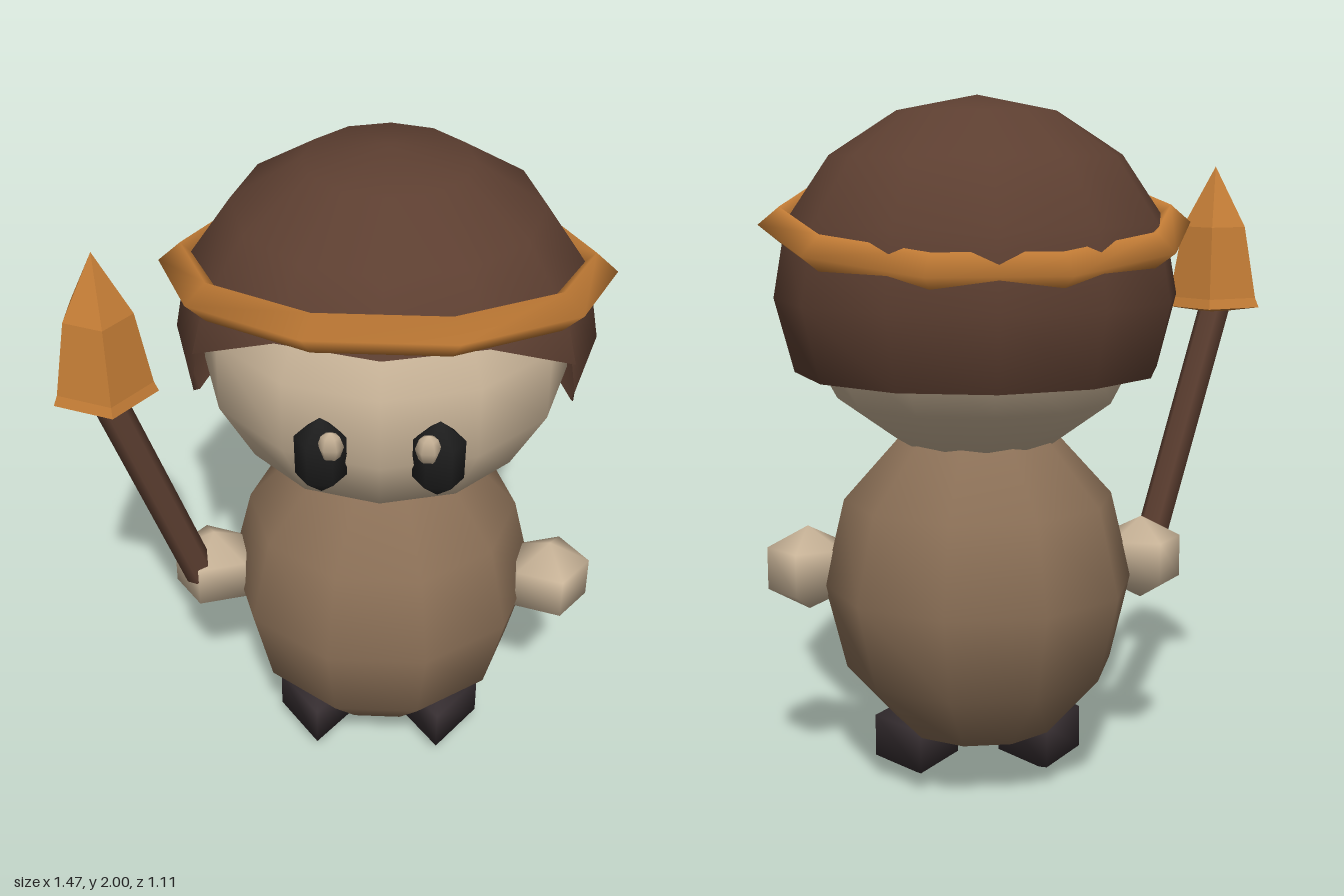
import * as THREE from 'three';

const CX = 0.125; // centre line of the figure
const RAD = Math.PI / 180;

const material = (name, color, extra = {}) => {
  const m = new THREE.MeshStandardMaterial({ color, ...extra });
  m.name = name;
  return m;
};

// Cap shell: a faceted dome whose rim is lifted over the face
function capGeometry(rx, ry, rz) {
  const rims = [[67, 67], [67, 83], [95, 115], [115, 115], [115, 115], [115, 115]];
  const pos = [], nor = [];
  const add = (a, t) => {
    const x = Math.sin(t * RAD) * Math.sin(a * RAD);
    const y = Math.cos(t * RAD);
    const z = Math.sin(t * RAD) * Math.cos(a * RAD);
    pos.push(x * rx, y * ry, z * rz);
    const n = new THREE.Vector3(x / rx, y / ry, z / rz).normalize();
    nor.push(n.x, n.y, n.z);
  };
  for (let i = 0; i < 12; i++) {
    const rim = rims[Math.min(i, 11 - i)];
    const [l0, l1] = i < 6 ? rim : [rim[1], rim[0]];
    const a0 = i * 30, a1 = a0 + 30;
    for (let j = 0; j < 5; j++) {
      const t = j * 23, u = t + 23;
      const A = [a0, Math.min(t, l0)], B = [a0, Math.min(u, l0)];
      const C = [a1, Math.min(u, l1)], D = [a1, Math.min(t, l1)];
      const same = (p, q) => p[1] === q[1];
      if (!same(A, B)) [A, B, C].forEach(p => add(...p));
      if (j > 0 && !same(C, D)) [A, C, D].forEach(p => add(...p));
    }
  }
  const g = new THREE.BufferGeometry();
  g.setAttribute('position', new THREE.Float32BufferAttribute(pos, 3));
  g.setAttribute('normal', new THREE.Float32BufferAttribute(nor, 3));
  return g;
}

export function createModel() {
  const group = new THREE.Group();
  const skin = material('skin', 0xcbb69a);
  const fur = material('tunic brown', 0x8a6f56);
  const brown = material('cap brown', 0x5d3f31, { side: THREE.DoubleSide });
  const orange = material('copper', 0xc47d36);
  const copperFlat = orange;
  const black = material('eye black', 0x1f1f1f);
  const dark = material('shoe dark', 0x352d30);

  const part = (name, geometry, mat, x, y, z) => {
    const m = new THREE.Mesh(geometry, mat);
    m.name = name;
    m.position.set(x, y, z);
    group.add(m);
    return m;
  };
  const ball = (name, mat, sides, rings, [rx, ry, rz], [x, y, z]) =>
    part(name, new THREE.SphereGeometry(1, sides, rings).scale(rx, ry, rz), mat, x, y, z);

  // Body and head
  ball('body', fur, 10, 6, [0.45, 0.5, 0.45], [CX, 0.61, 0]);
  ball('head', skin, 12, 7, [0.515, 0.465, 0.515], [CX, 1.445, 0]);

  // Cap with tilted band
  part('cap', capGeometry(0.575, 0.54, 0.553), brown, CX, 1.46, 0);
  const ring = new THREE.TorusGeometry(0.553, 0.06, 4, 10).rotateX(Math.PI / 2).scale(1, 0.85, 0.965);
  part('capBand', ring, orange, CX, 1.645, 0).rotation.x = -0.19;

  // Paired parts
  for (const [side, s] of [['left', 1], ['right', -1]]) {
    ball(side + 'Eye', black, 6, 3, [0.077, 0.138, 0.055], [CX + s * 0.15, 1.363, 0.478]).rotation.x = 0.2;
    ball(side + 'EyeGlint', skin, 6, 4, [0.034, 0.052, 0.022], [CX + s * 0.122, 1.425, 0.525]).rotation.x = 0.2;
    const hand = ball(side + 'Hand', skin, 5, 3, [0.137, 0.125, 0.132], [CX + s * 0.495, 0.645, 0.07]);
    if (s > 0) hand.rotation.y = Math.PI;
    ball(side + 'Foot', dark, 4, 3, [0.142, 0.125, 0.193], [CX + s * 0.185, 0.125, 0.052]);
  }

  // Spear shaft
  const from = new THREE.Vector3(-0.405, 0.66, 0.13);
  const to = new THREE.Vector3(-0.622, 1.38, 0.235);
  const dir = to.clone().sub(from);
  const mid = from.clone().add(to).multiplyScalar(0.5);
  const shaft = part('spearShaft', new THREE.CylinderGeometry(0.047, 0.047, dir.length(), 6), brown, mid.x, mid.y, mid.z);
  shaft.quaternion.setFromUnitVectors(new THREE.Vector3(0, 1, 0), dir.normalize());

  // Five-sided spear tip, faceted
  const profile = [[0, 1.36], [0.147, 1.382], [0.135, 1.41], [0.097, 1.62], [0, 1.797]]
    .map(([r, y]) => new THREE.Vector2(r, y));
  const tip = new THREE.LatheGeometry(profile, 5, Math.PI / 2).toNonIndexed();
  tip.computeVertexNormals();
  part('spearTip', tip, copperFlat, -0.617, 0, 0.235);

  return group;
}
